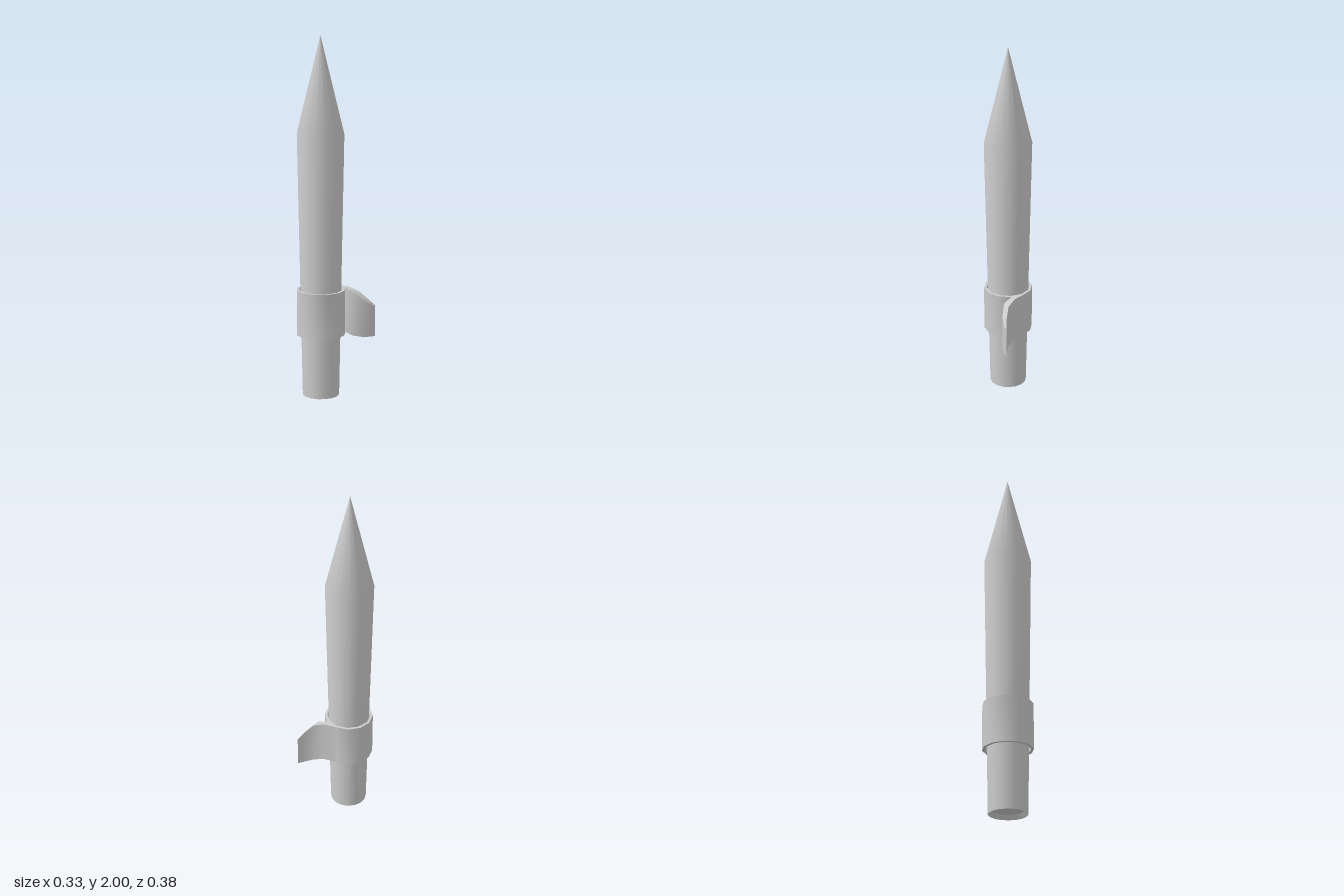
import * as THREE from 'three';
import { toCreasedNormals } from 'three/addons/utils/BufferGeometryUtils.js';

const material = new THREE.MeshStandardMaterial({ color: 0xcccccc });

function addMesh(parent, name, geometry, crease) {
  const mesh = new THREE.Mesh(toCreasedNormals(geometry, crease), material);
  mesh.name = name;
  parent.add(mesh);
  return mesh;
}

// Revolved part from [radius, height] pairs
function turned(profile, sides, phase = 0) {
  return new THREE.LatheGeometry(profile.map(([r, y]) => new THREE.Vector2(r, y)), sides, phase);
}

// Solid strip through stations: [outerX, outerZ, innerX, innerZ, low, high]
function strip(stations) {
  const positions = [];
  const index = [];
  stations.forEach(([ox, oz, ix, iz, low, high], i) => {
    positions.push(ox, low, oz, ox, high, oz, ix, high, iz, ix, low, iz);
    if (i === 0) return;
    const p = (i - 1) * 4;
    for (let k = 0; k < 4; k++) {
      const a = p + k;
      const b = p + ((k + 1) % 4);
      index.push(a, b, a + 4, b, b + 4, a + 4);
    }
  });
  const e = (stations.length - 1) * 4;
  index.push(0, 2, 1, 0, 3, 2, e, e + 1, e + 2, e, e + 2, e + 3);
  const geometry = new THREE.BufferGeometry();
  geometry.setAttribute('position', new THREE.Float32BufferAttribute(positions, 3));
  geometry.setIndex(index);
  return geometry;
}

export function createModel() {
  const model = new THREE.Group();
  model.name = 'pointedShaft';

  const axis = new THREE.Group();
  axis.name = 'shaftAndCollar';
  axis.position.set(-0.03, 0, 0.053);
  model.add(axis);

  // Tapered shaft with a recessed base and a conical point
  addMesh(axis, 'shaft', turned([
    [0, 0.025], [0.088, 0.025], [0.104, 0], [0.131, 1.47], [0, 2],
  ], 16, Math.PI / 16), 0.7);

  // Hollow collar
  addMesh(axis, 'collar', turned([
    [0.122, 0.35], [0.137, 0.35], [0.137, 0.605], [0.122, 0.605], [0.122, 0.35],
  ], 12), 0.7);

  // Curved clip sweeping away from the back of the collar
  addMesh(model, 'clip', strip([
    [-0.03, -0.084, -0.03, -0.07, 0.35, 0.605],
    [0.04, -0.1, 0.038, -0.065, 0.35, 0.605],
    [0.097, -0.12, 0.095, -0.075, 0.335, 0.585],
    [0.139, -0.158, 0.141, -0.122, 0.325, 0.535],
    [0.161, -0.188, 0.165, -0.173, 0.325, 0.5],
  ]), 0.7);

  return model;
}
